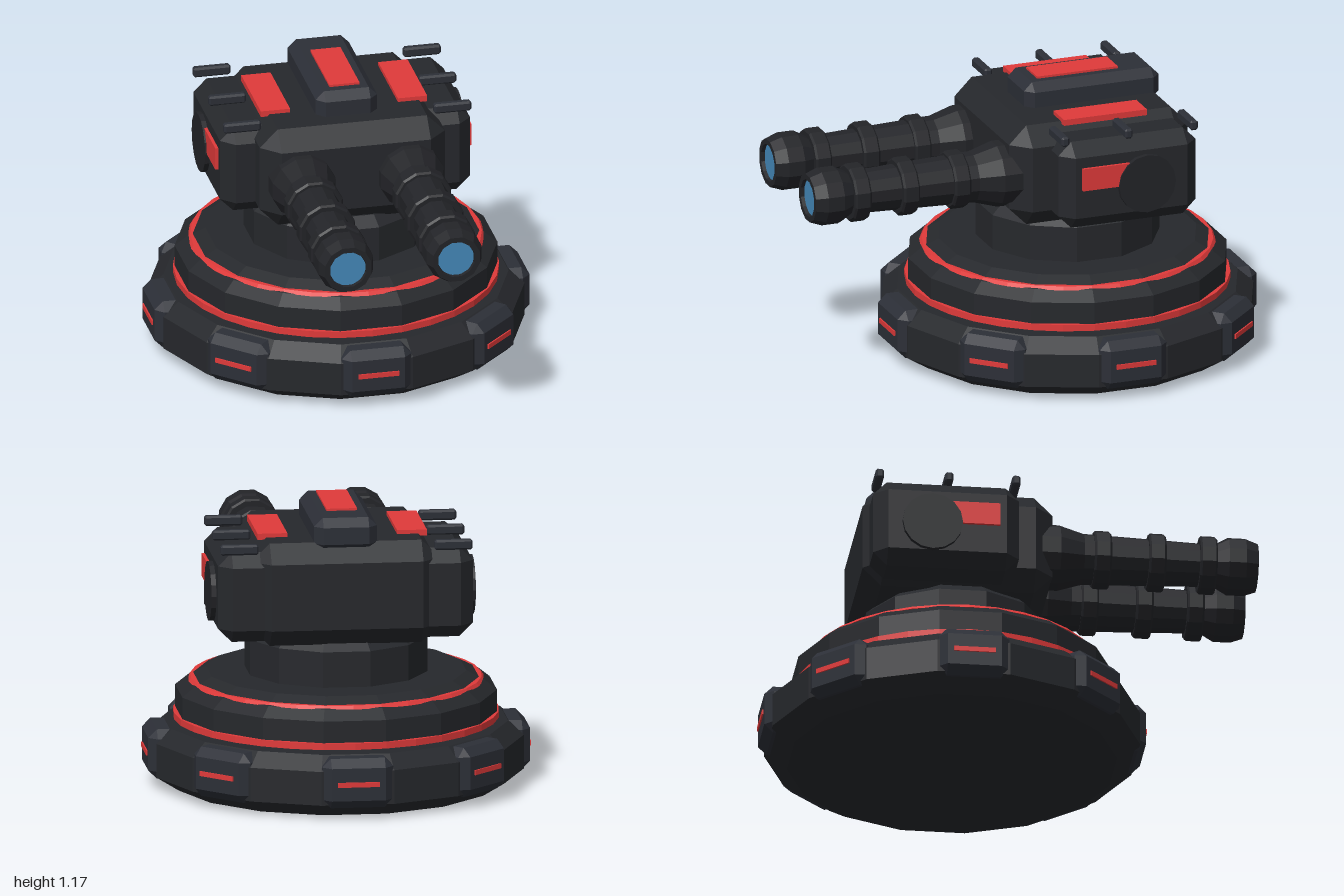
import * as THREE from 'three';
import { ConvexGeometry } from 'three/addons/geometries/ConvexGeometry.js';

const paint = (color) => new THREE.MeshStandardMaterial({ color, flatShading: true });
const HULL = paint(0x26282c), PLATE = paint(0x2c2f37), GUN = paint(0x232428);
const RED = paint(0xe03a3a), GLASS = paint(0x4488b8);

function add(parent, name, geometry, material, x = 0, y = 0, z = 0) {
  const mesh = new THREE.Mesh(geometry, material);
  mesh.name = name;
  mesh.position.set(x, y, z);
  parent.add(mesh);
  return mesh;
}

const box = (w, h, d) => new THREE.BoxGeometry(w, h, d);

// Box with every edge cut by a flat chamfer
function chamferBox(w, h, d, c) {
  const points = [];
  for (const sx of [-1, 1]) for (const sy of [-1, 1]) for (const sz of [-1, 1]) {
    for (let axis = 0; axis < 3; axis++) {
      const k = [0, 1, 2].map((i) => (i === axis ? 0 : c));
      points.push(new THREE.Vector3(sx * (w / 2 - k[0]), sy * (h / 2 - k[1]), sz * (d / 2 - k[2])));
    }
  }
  return new ConvexGeometry(points);
}

// Faceted solid of revolution from [radius, height] pairs, listed bottom to top
function turned(profile, sides) {
  const points = profile.map(([r, y]) => new THREE.Vector2(r, y));
  return new THREE.LatheGeometry(points, sides, Math.PI / sides);
}

function createBase() {
  const base = new THREE.Group();
  base.name = 'base';
  add(base, 'foot', turned([[0, 0], [0.67, 0], [0.765, 0.06], [0.765, 0.2], [0.7, 0.257], [0, 0.257]], 16), HULL);
  add(base, 'core', new THREE.CylinderGeometry(0.55, 0.55, 0.06, 16), HULL, 0, 0.27, 0);
  add(base, 'lowerGlowRing', new THREE.CylinderGeometry(0.662, 0.662, 0.027, 32), RED, 0, 0.282, 0);
  add(base, 'upperTier', turned([[0, 0.29], [0.655, 0.29], [0.655, 0.385], [0.605, 0.425], [0.53, 0.463], [0, 0.463]], 16), HULL);
  add(base, 'upperGlowRing', new THREE.CylinderGeometry(0.592, 0.602, 0.014, 32), RED, 0, 0.43, 0);
  add(base, 'neck', turned([[0, 0.45], [0.375, 0.45], [0.375, 0.61], [0.33, 0.65], [0, 0.65]], 12), HULL);

  // Armour blocks with light strips around the foot
  for (let i = 0; i < 8; i++) {
    const block = new THREE.Group();
    block.name = 'armourBlock';
    block.rotation.y = (i * Math.PI) / 4;
    add(block, 'blockPlate', chamferBox(0.29, 0.205, 0.16, 0.035), PLATE, 0, 0.15, 0.7);
    add(block, 'blockLight', box(0.17, 0.02, 0.02), RED, 0, 0.15, 0.776);
    base.add(block);
  }
  return base;
}

function createBarrel() {
  const barrel = new THREE.Group();
  barrel.name = 'barrel';
  const parts = new THREE.Group();
  parts.name = 'barrelParts';
  parts.rotation.x = Math.PI / 2;
  barrel.add(parts);
  // Root collar, tapering tube and hollow muzzle
  add(parts, 'tube', turned([[0.135, 0.1], [0.135, 0.19], [0.105, 0.29], [0.103, 0.36], [0.088, 0.8],
    [0.09, 0.83], [0.118, 0.88], [0.118, 0.95], [0.1, 1], [0.078, 1], [0.074, 0.97]], 12), GUN);
  for (const z of [0.365, 0.588, 0.797]) {
    add(parts, 'barrelRing', turned([[0.08, -0.035], [0.112, -0.035], [0.12, -0.027], [0.12, 0.027],
      [0.112, 0.035], [0.08, 0.035]], 12), GUN, 0, z, 0);
  }
  add(parts, 'lens', new THREE.CylinderGeometry(0.077, 0.077, 0.02, 12), GLASS, 0, 0.975, 0);
  return barrel;
}

function createHead() {
  const head = new THREE.Group();
  head.name = 'head';
  add(head, 'headBody', chamferBox(0.77, 0.425, 0.775, 0.075), HULL, 0, 0.848, -0.23);
  // Roof hatch
  add(head, 'roofHatch', chamferBox(0.256, 0.14, 0.585, 0.035), PLATE, 0, 1.09, -0.283);
  add(head, 'hatchLight', box(0.125, 0.02, 0.35), RED, 0, 1.159, -0.235);

  for (const s of [-1, 1]) {
    // Side pod with its disc and light
    add(head, 'sidePod', chamferBox(0.34, 0.37, 0.595, 0.055), HULL, s * 0.35, 0.84, -0.295);
    const disc = add(head, 'sideDisc', new THREE.CylinderGeometry(0.123, 0.123, 0.04, 16), GUN, s * 0.52, 0.83, -0.357);
    disc.rotation.z = Math.PI / 2;
    add(head, 'sideLight', box(0.03, 0.095, 0.22), RED, s * 0.518, 0.878, -0.19);
    // Roof fittings
    add(head, 'roofLight', box(0.122, 0.025, 0.36), RED, s * 0.285, 1.064, -0.248);
    for (const z of [-0.57, -0.287, -0.012]) {
      add(head, 'roofBar', chamferBox(0.155, 0.042, 0.034, 0.008), PLATE, s * 0.437, 1.044, z);
    }
    // Guns
    const barrel = createBarrel();
    barrel.position.set(s * 0.225, 0.838, 0);
    head.add(barrel);
  }
  return head;
}

export function createModel() {
  const model = new THREE.Group();
  model.name = 'twinGunTurret';
  const base = createBase();
  base.position.z = -0.215;
  model.add(base, createHead());
  return model;
}
